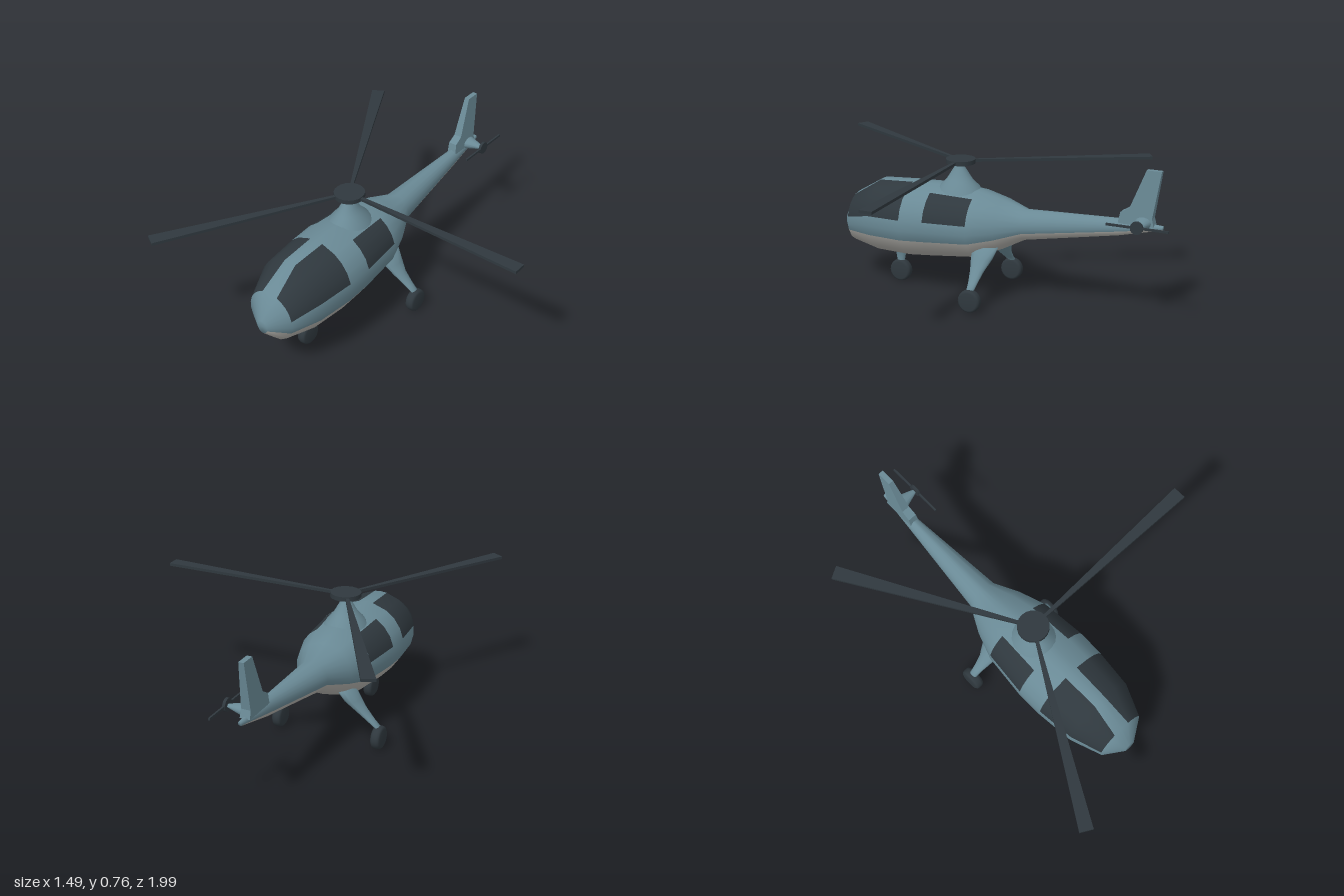
import * as THREE from 'three';

const CX = -0.232; // the fuselage sits off centre because the rotor reaches far to one side
const teal = new THREE.MeshStandardMaterial({ name: 'tealPaint', color: 0x6a8a96 });
const belly = new THREE.MeshStandardMaterial({ name: 'greyBelly', color: 0xb0afaa });
const dark = new THREE.MeshStandardMaterial({ name: 'darkGlassAndRubber', color: 0x2f383e });

// Skin a list of rings; colorOf(ring, column) picks the material index of each cell
function loft(rings, colorOf = () => 0) {
  const n = rings[0].length, pos = [], buckets = [[], [], []];
  rings.forEach(r => r.forEach(p => pos.push(...p)));
  for (let i = 0; i < rings.length - 1; i++) {
    for (let j = 0; j < n; j++) {
      const k = (j + 1) % n;
      const a = i * n + j, b = i * n + k, c = b + n, d = a + n;
      buckets[colorOf(i, j)].push(a, d, b, b, d, c);
    }
  }
  // End caps
  [0, rings.length - 1].forEach((i, end) => {
    const mid = [0, 1, 2].map(q => rings[i].reduce((s, p) => s + p[q], 0) / n);
    const m = pos.length / 3;
    pos.push(...mid);
    for (let j = 0; j < n; j++) {
      const a = i * n + j, b = i * n + (j + 1) % n;
      buckets[0].push(m, ...(end ? [b, a] : [a, b]));
    }
  });
  const g = new THREE.BufferGeometry();
  g.setAttribute('position', new THREE.Float32BufferAttribute(pos, 3));
  g.setIndex(buckets.flat());
  let start = 0;
  buckets.forEach((b, m) => {
    if (b.length) g.addGroup(start, b.length, m);
    start += b.length;
  });
  g.computeVertexNormals();
  return g;
}

function fuselage() {
  // z, top, bottom, half width
  const stations = [
    [0.79, 0.34, 0.27, 0.03], [0.725, 0.465, 0.2, 0.13], [0.575, 0.555, 0.17, 0.19],
    [0.385, 0.567, 0.168, 0.209], [0.25, 0.572, 0.182, 0.212], [0.02, 0.561, 0.207, 0.19],
    [-0.11, 0.53, 0.262, 0.145], [-0.235, 0.488, 0.33, 0.08], [-0.72, 0.508, 0.42, 0.033],
    [-0.94, 0.497, 0.475, 0.012],
  ];
  const half = [-90, -67, -45, -22, -6, 10, 26, 42, 58, 80, 90];
  const angles = [...half, ...half.slice(1, -1).reverse().map(a => 180 - a)];
  const rings = stations.map(([z, top, bot, w], i) => angles.map(deg => {
    let a = deg;
    if (i === 1 && deg === 80) a = 70; // windscreen post widens at the nose
    if (i === 1 && deg === 100) a = 110;
    a *= Math.PI / 180;
    return [w * Math.cos(a), (top + bot) / 2 + (top - bot) / 2 * Math.sin(a), z];
  }));
  return loft(rings, (i, j) => {
    const k = j < 10 ? j : 19 - j;
    if (k === 0 && i === 2) return 0;                     // nose gear bay
    if (k < 3) return 1;                                  // belly
    if ((i === 1 || i === 2) && k >= 5 && k <= 8) return 2; // cockpit windows
    if (i === 4 && k >= 5 && k <= 7) return 2;            // cabin windows
    return 0;
  });
}

// Strut from rows of x, y, z, half thickness, half chord, going down
function strut(rows, side = 1) {
  return loft(rows.map(([x, y, z, t, h]) => Array.from({ length: 12 }, (_, i) => {
    const a = i / 12 * Math.PI * 2;
    return [side * x + t * Math.sin(a), y, z + h * Math.cos(a)];
  })));
}

function extrude(points, depth) {
  const s = new THREE.Shape(points.map(p => new THREE.Vector2(...p)));
  return new THREE.ExtrudeGeometry(s, { depth, bevelEnabled: false }).translate(0, 0, -depth / 2);
}

export function createModel() {
  const model = new THREE.Group();
  model.name = 'helicopter';
  const craft = new THREE.Group();
  craft.name = 'craft';
  craft.position.x = CX;
  model.add(craft);
  const add = (name, geo, mat, x = 0, y = 0, z = 0, parent = craft) => {
    const m = new THREE.Mesh(geo, mat);
    m.name = name;
    m.position.set(x, y, z);
    parent.add(m);
    return m;
  };

  add('fuselage', fuselage(), [teal, belly, dark]);

  // Mast fairing
  const mast = [[0.13, 0.5], [0.095, 0.565], [0.062, 0.6], [0.045, 0.63], [0.022, 0.67], [0.018, 0.69]];
  const mastGeo = new THREE.LatheGeometry(mast.map(p => new THREE.Vector2(...p)), 20);
  add('mastFairing', mastGeo.scale(0.95, 1, 1.12), teal, 0, 0, 0.135);

  // Main rotor
  const rotor = new THREE.Group();
  rotor.name = 'mainRotor';
  rotor.position.set(0, 0.698, 0.13);
  craft.add(rotor);
  add('rotorHub', new THREE.CylinderGeometry(0.076, 0.076, 0.022, 20), dark, 0, 0, 0, rotor);
  const blade = extrude([[0.04, -0.007], [0.977, -0.033], [0.977, 0.033], [0.04, 0.007]], 0.014);
  blade.rotateX(Math.PI / 2);
  for (let i = 0; i < 3; i++) {
    add('rotorBlade', blade, dark, 0, 0, 0, rotor).rotation.y = i * Math.PI * 2 / 3;
  }

  // Tail fin, drawn in z and y, thinner towards the tip
  const fin = extrude([[0.72, 0.49], [0.73, 0.545], [0.775, 0.572], [0.85, 0.765],
    [0.925, 0.765], [0.89, 0.53], [0.9, 0.49]].reverse(), 1).rotateY(Math.PI / 2);
  const fp = fin.attributes.position;
  for (let i = 0; i < fp.count; i++) {
    fp.setX(i, fp.getX(i) * (0.05 - 0.024 * (fp.getY(i) - 0.49) / 0.275));
  }
  fin.computeVertexNormals();
  add('tailFin', fin, teal);

  // Tail rotor
  const cone = new THREE.CylinderGeometry(0.01, 0.045, 0.1, 14).rotateZ(-Math.PI / 2).scale(1, 0.7, 1);
  add('tailRotorMount', cone, teal, 0.065, 0.505, -0.845);
  const hub = new THREE.CylinderGeometry(0.032, 0.032, 0.014, 14).rotateZ(Math.PI / 2);
  add('tailRotorHub', hub, dark, 0.117, 0.508, -0.845);
  add('tailRotorBlades', new THREE.BoxGeometry(0.009, 0.011, 0.31), dark, 0.117, 0.508, -0.847);

  // Landing gear
  const tyre = [[0, -0.025], [0.046, -0.025], [0.056, -0.018], [0.059, -0.008],
    [0.059, 0.008], [0.056, 0.018], [0.046, 0.025], [0, 0.025]];
  const wheel = new THREE.LatheGeometry(tyre.map(p => new THREE.Vector2(...p)), 20).rotateZ(Math.PI / 2);
  const leg = [[0.09, 0.295, -0.05, 0.035, 0.07], [0.125, 0.24, -0.045, 0.037, 0.058],
    [0.17, 0.19, -0.042, 0.028, 0.038], [0.225, 0.142, -0.044, 0.02, 0.025],
    [0.265, 0.11, -0.045, 0.015, 0.02], [0.267, 0.06, -0.045, 0.013, 0.018]];
  [[1, 'left'], [-1, 'right']].forEach(([s, n]) => {
    add(n + 'MainStrut', strut(leg, s), teal);
    add(n + 'MainWheel', wheel, dark, s * 0.267, 0.06, -0.045);
  });
  add('noseStrut', strut([[0, 0.2, 0.48, 0.03, 0.04], [0, 0.16, 0.48, 0.017, 0.03],
    [0, 0.12, 0.48, 0.015, 0.022], [0, 0.06, 0.48, 0.013, 0.018]]), teal);
  add('noseWheel', wheel, dark, 0, 0.06, 0.48);
  return model;
}
